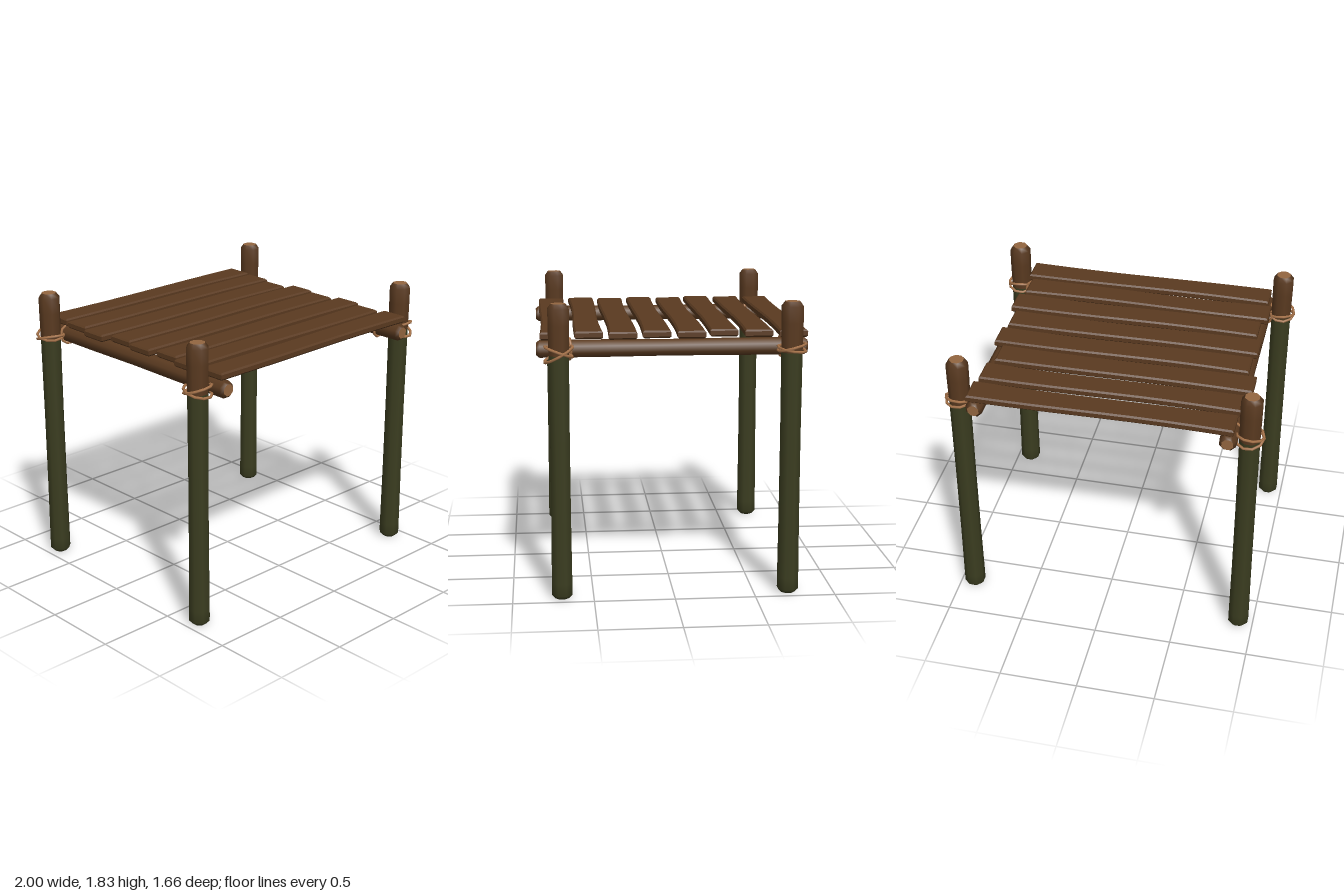
import * as THREE from 'three';

const bark = new THREE.MeshStandardMaterial({ color: 0x5a3a20 });
bark.name = 'brownWood';
const moss = new THREE.MeshStandardMaterial({ color: 0x3b3d20 });
moss.name = 'mossGreen';
const cut = new THREE.MeshStandardMaterial({ color: 0x936640 });
cut.name = 'cutWood';
const twine = new THREE.MeshStandardMaterial({ color: 0xa8744a });
twine.name = 'rope';

function add(parent, name, geometry, material) {
  const mesh = new THREE.Mesh(geometry, material);
  mesh.name = name;
  parent.add(mesh);
  return mesh;
}

// Eight-sided turned log section from [radius, height] pairs
function log(profile) {
  const points = profile.map(([r, y]) => new THREE.Vector2(r, y));
  return new THREE.LatheGeometry(points, 8, Math.PI / 8);
}

function cutFace(radius) {
  return new THREE.CircleGeometry(radius, 8, Math.PI / 8).rotateX(-Math.PI / 2);
}

function rope(radius) {
  return new THREE.TorusGeometry(radius, 0.009, 5, 10);
}

// Post with a mossy shaft, bare head and two crossed rope loops
function makePost(x, z, tilts) {
  const post = new THREE.Group();
  post.name = 'post';
  add(post, 'postShaft', log([[0, 0], [0.045, 0], [0.068, 0.025], [0.068, 0.1],
    [0.065, 0.5], [0.064, 1.0], [0.066, 1.52]]), moss);
  add(post, 'postHead', log([[0.066, 1.52], [0.069, 1.7], [0.069, 1.8], [0.047, 1.83]]), bark);
  add(post, 'postTop', cutFace(0.047), cut).position.y = 1.83;
  tilts.forEach(([tiltX, tiltZ, y]) => {
    const loop = add(post, 'postRope', rope(0.086).rotateX(Math.PI / 2), twine);
    loop.position.y = y;
    loop.rotation.set(tiltX, 0, tiltZ);
    loop.scale.z = 1 / Math.cos(tiltX);
  });
  post.position.set(x, 0, z);
  return post;
}

// Side beam lying along z, with a rope loop near each end
function makeBeam(x) {
  const beam = new THREE.Group();
  beam.name = 'beam';
  const half = 0.83;
  const body = new THREE.Group();
  body.name = 'beamLog';
  body.rotation.x = Math.PI / 2;
  add(body, 'beamBark', log([[0.038, -half], [0.055, -half + 0.02], [0.055, -0.4],
    [0.052, 0], [0.055, 0.4], [0.055, half - 0.02], [0.038, half]]), bark);
  add(body, 'beamEndFront', cutFace(0.038), cut).position.y = half;
  const back = add(body, 'beamEndBack', cutFace(0.038), cut);
  back.position.y = -half;
  back.rotation.x = Math.PI;
  beam.add(body);
  for (const z of [0.63, -0.67]) {
    const loop = add(beam, 'beamRope', rope(0.066), twine);
    loop.position.z = z;
    loop.rotation.y = Math.sign(x) * 0.15;
  }
  beam.position.set(x, 1.54, 0);
  return beam;
}

// Rough plank: wavy outline, narrower along the middle, bevelled edges
function makePlank(left, right, z, sway, pinch) {
  const bevel = 0.01, steps = 8, half = 0.087 - bevel;
  const near = [], far = [];
  for (let i = 0; i <= steps; i++) {
    const t = i / steps;
    const x = left + bevel + (right - left - 2 * bevel) * t;
    const centre = sway * Math.sin(t * Math.PI * 2);
    const w = half - pinch * Math.sin(t * Math.PI);
    near.push(new THREE.Vector2(x, centre - w));
    far.unshift(new THREE.Vector2(x, centre + w));
  }
  const geometry = new THREE.ExtrudeGeometry(new THREE.Shape([...near, ...far]), {
    depth: 0.027, bevelEnabled: true, bevelThickness: bevel, bevelSize: bevel, bevelSegments: 1,
  });
  geometry.rotateX(-Math.PI / 2);
  geometry.translate(0, 1.597 + bevel, z);
  return geometry;
}

export function createModel() {
  const model = new THREE.Group();
  model.name = 'plankPlatform';

  // Posts: position and [tilt x, tilt z, height] of each rope loop
  model.add(
    makePost(-0.905, 0.695, [[-0.3, 0.1, 1.545], [0.25, -0.08, 1.53]]),
    makePost(0.905, 0.695, [[-0.35, 0.05, 1.54], [0.5, -0.05, 1.525]]),
    makePost(-0.905, -0.715, [[0.2, 0.1, 1.55], [-0.3, -0.1, 1.53]]),
    makePost(0.905, -0.715, [[0.25, 0.05, 1.55], [-0.15, -0.08, 1.54]]),
  );

  model.add(makeBeam(-0.785), makeBeam(0.785));

  // Deck planks: left end, right end, z, sway, pinch
  const deck = new THREE.Group();
  deck.name = 'deck';
  [
    [-0.82, 0.83, -0.74, -0.005, 0.008],
    [-0.835, 0.81, -0.53, -0.006, 0.008],
    [-0.87, 0.77, -0.32, -0.004, 0.007],
    [-0.815, 0.83, -0.115, -0.007, 0.006],
    [-0.84, 0.8, 0.095, -0.005, 0.007],
    [-0.805, 0.84, 0.305, -0.006, 0.006],
    [-0.845, 0.8, 0.51, 0.005, 0.008],
    [-0.82, 0.83, 0.72, -0.005, 0.007],
  ].forEach((p) => add(deck, 'plank', makePlank(...p), bark));
  model.add(deck);

  return model;
}
